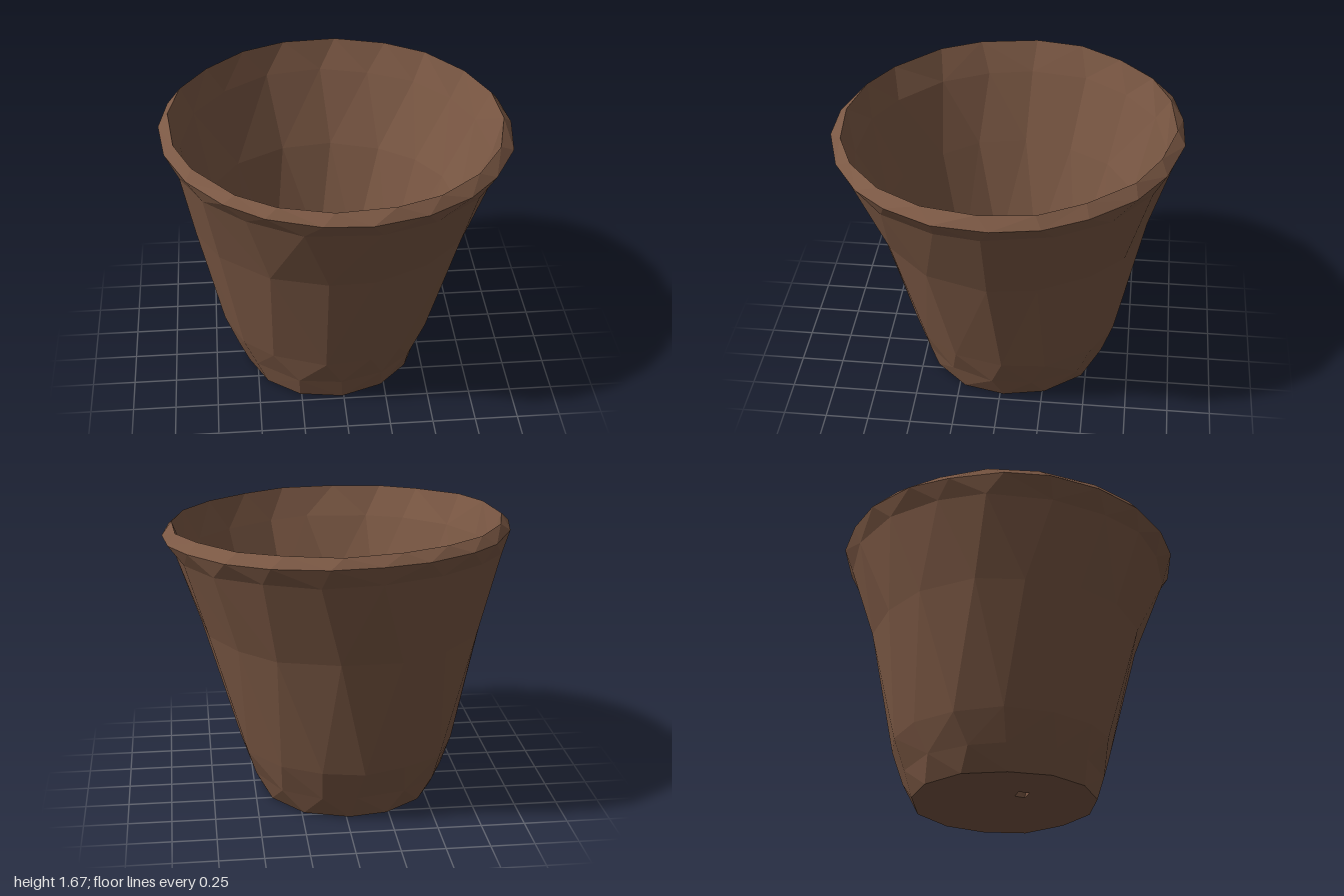
import * as THREE from 'three';

// Small seeded noise in -1..1 for the hand-made unevenness
let seed = 7;
const wobble = () => {
  seed = (seed * 16807) % 2147483647;
  return (seed / 2147483647) * 2 - 1;
};

// One uneven ring: centre, radii, height, tilt along x and z
function makeRing({ n, cx, cz, rx, rz, y, tx = 0, tz = 0, phase = 0, j = 1 }) {
  const points = [], angles = [];
  for (let i = 0; i < n; i++) {
    const a = ((i + phase + wobble() * 0.14 * j) / n) * Math.PI * 2;
    const k = 1 + (wobble() * 0.01 - 0.002) * j;
    const x = cx + Math.cos(a) * rx * k, z = cz + Math.sin(a) * rz * k;
    points.push(new THREE.Vector3(x, y + tx * x + tz * z + wobble() * 0.007 * j, z));
    angles.push(a);
  }
  points.push(points[0]);
  angles.push(angles[0] + Math.PI * 2);
  return { points, angles, n };
}

// Join two rings that may have different numbers of corners
function stitch(a, b, out) {
  const add = (...ps) => ps.forEach((p) => out.push(p.x, p.y, p.z));
  let i = 0, j = 0;
  while (i < a.n || j < b.n) {
    if (j >= b.n || (i < a.n && a.angles[i + 1] <= b.angles[j + 1])) {
      add(a.points[i], b.points[j], a.points[i + 1]);
      i++;
    } else {
      add(a.points[i], b.points[j], b.points[j + 1]);
      j++;
    }
  }
}

function loft(rings) {
  const out = [];
  for (let i = 0; i + 1 < rings.length; i++) stitch(rings[i], rings[i + 1], out);
  const geometry = new THREE.BufferGeometry();
  geometry.setAttribute('position', new THREE.Float32BufferAttribute(out, 3));
  geometry.computeVertexNormals();
  return geometry;
}

export function createModel() {
  const clay = new THREE.MeshStandardMaterial({ color: 0x7b5844, flatShading: true });
  const tilt = { tx: -0.016, tz: -0.033 };

  // Drain hole and outer wall, from the base upward
  const holeBottom = makeRing({ n: 4, cx: -0.18, cz: 0.03, rx: 0.05, rz: 0.045, y: 0.03, phase: 0.5, j: 0.5 });
  const baseEdge = makeRing({ n: 13, cx: -0.055, cz: -0.04, rx: 0.515, rz: 0.53, y: 0.012, j: 0.8 });
  const foot = makeRing({ n: 14, cx: -0.055, cz: -0.05, rx: 0.575, rz: 0.575, y: 0.15, phase: 0.4 });
  const low = makeRing({ n: 15, cx: -0.055, cz: -0.055, rx: 0.64, rz: 0.635, y: 0.33, phase: 0.1 });
  const middle = makeRing({ n: 16, cx: -0.035, cz: -0.025, rx: 0.815, rz: 0.795, y: 1.03, phase: 0.3 });
  const neck = makeRing({ n: 18, cx: -0.01, cz: -0.01, rx: 0.95, rz: 0.945, y: 1.48, phase: 0.1, ...tilt });

  // Rim, widest edge and crest
  const rimEdge = makeRing({ n: 22, cx: 0, cz: 0, rx: 1.003, rz: 0.997, y: 1.585, phase: 0.05, j: 0.7, ...tilt });
  const crest = makeRing({ n: 20, cx: -0.005, cz: 0, rx: 0.95, rz: 0.947, y: 1.643, phase: 0.2, j: 0.7, ...tilt });

  // Inner wall and floor, from the rim downward
  const innerNeck = makeRing({ n: 18, cx: -0.01, cz: -0.01, rx: 0.89, rz: 0.885, y: 1.46, phase: 0.3, ...tilt });
  const innerMiddle = makeRing({ n: 16, cx: -0.035, cz: -0.025, rx: 0.755, rz: 0.74, y: 1.03, phase: 0.1 });
  const innerLow = makeRing({ n: 14, cx: -0.045, cz: -0.055, rx: 0.565, rz: 0.565, y: 0.34, phase: 0.3 });
  const floorEdge = makeRing({ n: 12, cx: -0.025, cz: -0.07, rx: 0.46, rz: 0.47, y: 0.1, phase: 0.1, j: 0.8 });
  const holeTop = makeRing({ n: 4, cx: -0.18, cz: 0.03, rx: 0.05, rz: 0.045, y: 0.09, phase: 0.5, j: 0.5 });

  const parts = {
    base: [holeBottom, baseEdge],
    outerWall: [baseEdge, foot, low, middle, neck],
    rim: [neck, rimEdge, crest],
    innerWall: [crest, innerNeck, innerMiddle, innerLow, floorEdge],
    floor: [floorEdge, holeTop],
    drainHole: [holeTop, holeBottom],
  };
  const pot = new THREE.Group();
  pot.name = 'pot';
  for (const [name, rings] of Object.entries(parts)) {
    const mesh = new THREE.Mesh(loft(rings), clay);
    mesh.name = name;
    pot.add(mesh);
  }
  return pot;
}
